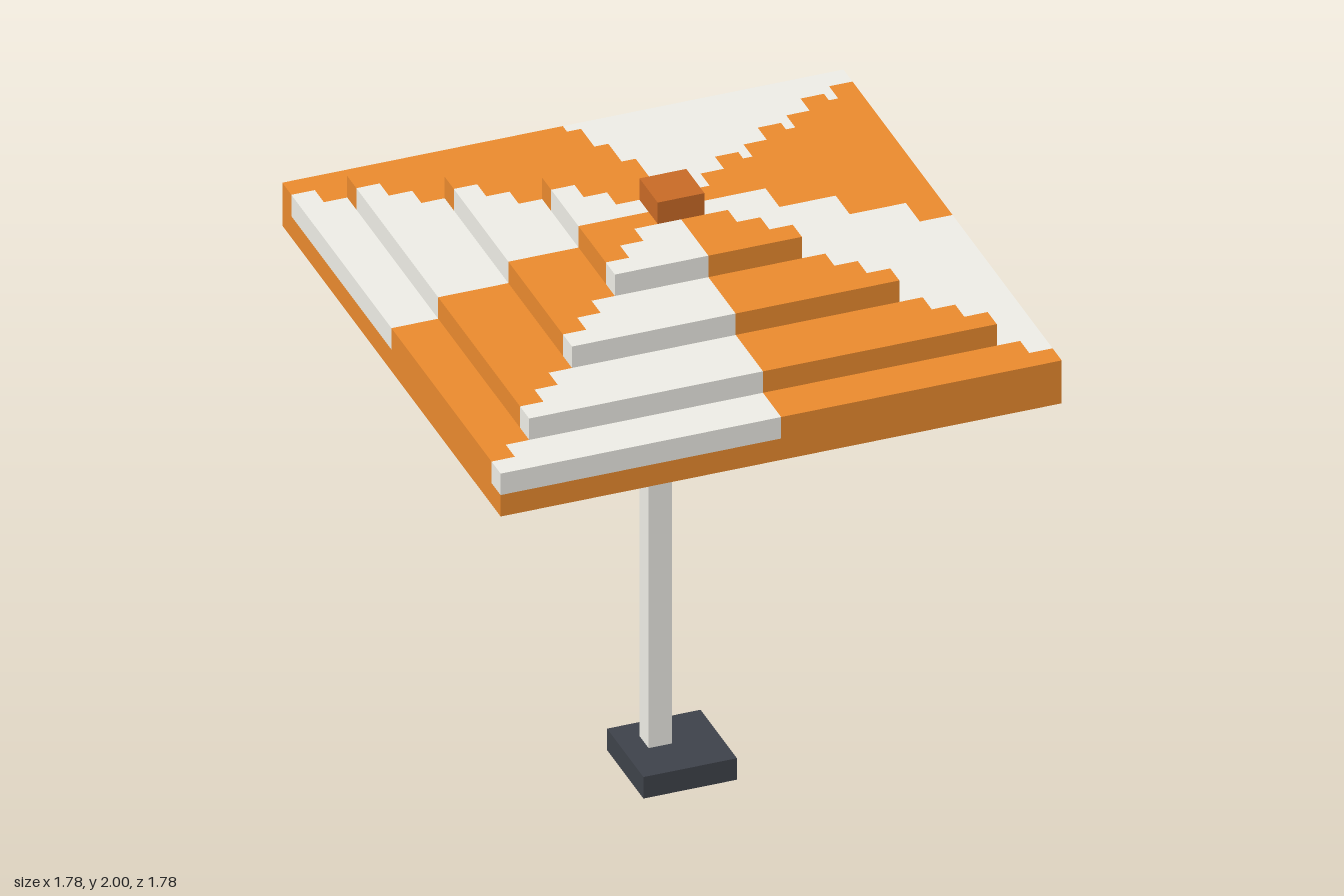
import * as THREE from 'three';
import { mergeGeometries } from 'three/addons/utils/BufferGeometryUtils.js';

const U = 2 / 27; // edge of one block
const mat = (color) => new THREE.MeshStandardMaterial({ color, flatShading: true });

// Flat slab one block high from a plan outline in block units ([x, z])
function slab(points, y, hole) {
  const toVec = ([x, z]) => new THREE.Vector2(x * U, -z * U);
  const shape = new THREE.Shape(points.map(toVec));
  if (hole) shape.holes.push(new THREE.Path(hole.map(toVec)));
  const g = new THREE.ExtrudeGeometry(shape, { depth: U, bevelEnabled: false });
  return g.rotateX(-Math.PI / 2).translate(0, y * U, 0);
}

const square = (n) => [[-n, -n], [n, -n], [n, n], [-n, n]];

// Box between two corners in block units
function block(x0, y0, z0, x1, y1, z1) {
  const g = new THREE.BoxGeometry((x1 - x0) * U, (y1 - y0) * U, (z1 - z0) * U);
  return g.translate((x0 + x1) * U / 2, (y0 + y1) * U / 2, (z0 + z1) * U / 2);
}

export function createModel() {
  const group = new THREE.Group();
  const orange = mat(0xea8a2e), pale = mat(0xeeede6), rust = mat(0xc86a26), dark = mat(0x3e424a);
  const add = (name, geometry, material) => {
    const mesh = new THREE.Mesh(geometry, material);
    mesh.name = name;
    group.add(mesh);
  };

  add('base', block(-2, 0, -2, 2, 1, 2), dark);
  add('pole', block(-1, 1, -1, 0, 22, 0), pale);

  // Hanging rim under the canopy edge; outline and hole wind opposite ways
  add('canopyRim', slab(square(12).reverse(), 21, square(11)), orange);

  // Stepped canopy tiers, each cut into eight alternating sectors with saw-tooth diagonals
  [12, 10, 7, 4].forEach((n, tier) => {
    const steps = [];
    for (let k = 1; k < n; k++) steps.push([k, k - 1], [k, k]);
    steps.push([n, n - 1]);
    const endSector = [[0, 0], ...steps, [n, n], [0, n]]; // front and back, owns the diagonal
    const sideSector = [...steps, [n, 0]];
    const orangeParts = [], paleParts = [];
    for (const sx of [1, -1]) for (const sz of [1, -1]) {
      const place = (pts) => slab(pts.map(([x, z]) => [x * sx, z * sz]), 22 + tier);
      const same = sx * sz > 0;
      (same ? orangeParts : paleParts).push(place(endSector));
      (same ? paleParts : orangeParts).push(place(sideSector));
    }
    add(`canopyTier${tier + 1}Orange`, mergeGeometries(orangeParts), orange);
    add(`canopyTier${tier + 1}Pale`, mergeGeometries(paleParts), pale);
  });

  add('cap', block(-1, 26, -1, 1, 27, 1), rust);
  return group;
}
